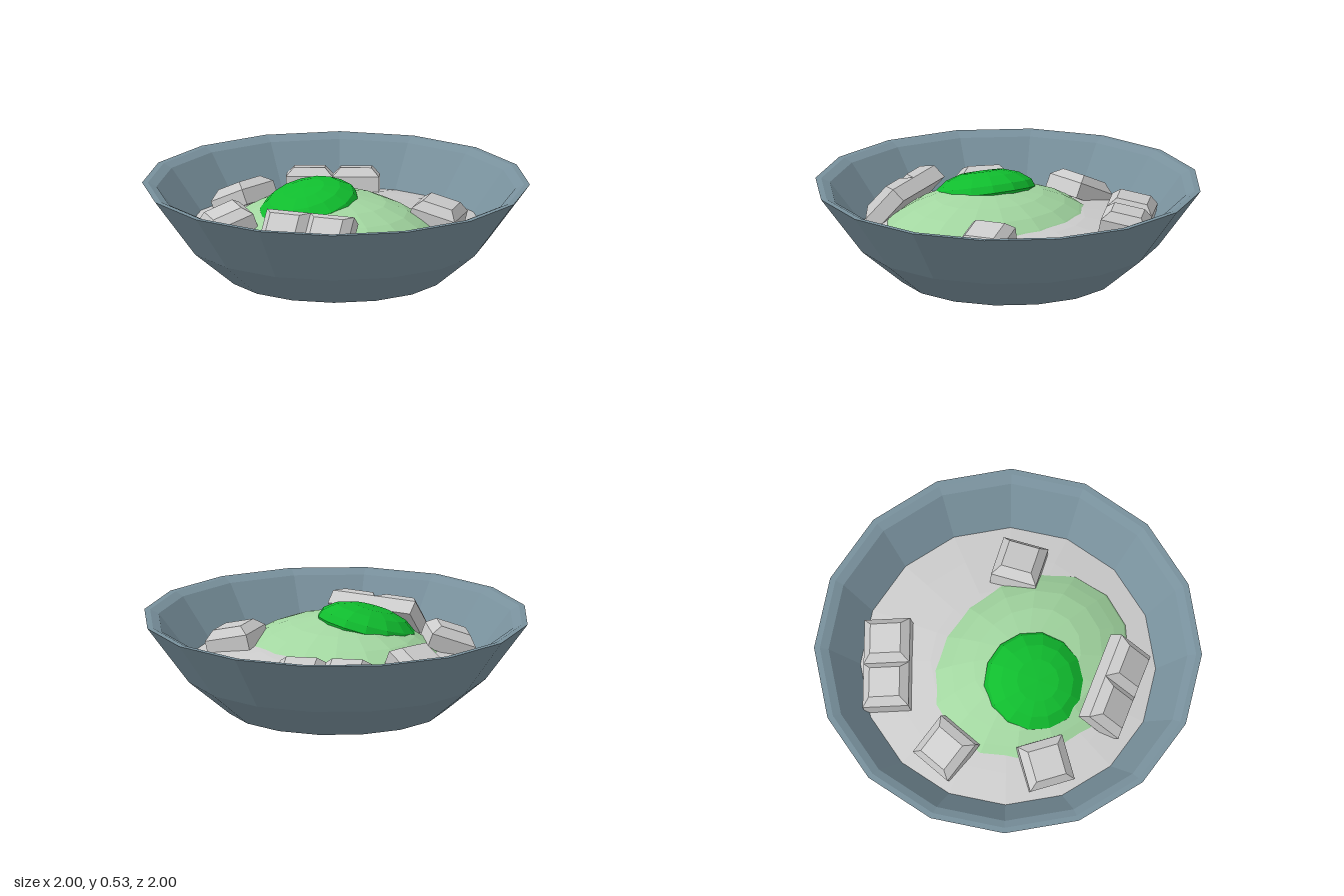
import * as THREE from 'three';

const material = (color) => new THREE.MeshStandardMaterial({ color, flatShading: true });
const grey = material(0xcccccc);

function add(parent, name, geometry, mat) {
  const mesh = new THREE.Mesh(geometry, mat);
  mesh.name = name;
  parent.add(mesh);
  return mesh;
}

// Profiles run bottom to top along the outside so the faces point outwards
const lathe = (points, sides) =>
  new THREE.LatheGeometry(points.map(([r, y]) => new THREE.Vector2(r, y)), sides);

// A bar of one or more squares, each a slab with a sloped raised top.
// Local +z points away from the bowl's centre; tilt leans the top outwards.
function bar(parent, name, count, [x, y, z], yaw, tilt) {
  const size = 0.24;
  const group = new THREE.Group();
  group.name = name;
  group.position.set(x, y, z);
  group.rotation.set(tilt, yaw, 0, 'YXZ');
  add(group, 'slab', new THREE.BoxGeometry(size * count, 0.08, size), grey).position.y = -0.02;
  for (let i = 0; i < count; i++) {
    const top = new THREE.CylinderGeometry(0.08 * Math.SQRT2, 0.12 * Math.SQRT2, 0.045, 4, 1);
    top.rotateY(Math.PI / 4);
    add(group, 'raisedSquare', top, grey)
      .position.set((i - (count - 1) / 2) * size, 0.0425, 0);
  }
  parent.add(group);
}

export function createModel() {
  const model = new THREE.Group();
  model.name = 'filledBowl';

  // Bowl: foot, two-step outer wall, rim and inner wall
  add(model, 'bowl', lathe([
    [0, 0], [0.565, 0], [0.78, 0.18], [1, 0.48],
    [0.97, 0.48], [0.925, 0.46], [0.76, 0.25], [0.66, 0.14], [0, 0.1],
  ], 16), material(0x78909c));

  // Gently domed filling
  add(model, 'filling', lathe([
    [0.765, 0.25], [0.6, 0.285], [0.4, 0.32], [0.2, 0.34], [0, 0.345],
  ], 16), grey);

  // Pale sauce spread over the filling
  const sauce = add(model, 'paleSauce', lathe([
    [0.62, 0.2], [0.56, 0.29], [0.5, 0.33], [0.42, 0.375],
    [0.3, 0.42], [0.15, 0.45], [0, 0.455],
  ], 16), material(0xa2d6a0));
  sauce.position.set(0.06, 0, 0.08);
  sauce.scale.z = 0.84;

  // Bright topping, leaning forwards
  const topping = add(model, 'greenTopping', lathe([
    [0.22, -0.08], [0.265, -0.01], [0.25, 0.03], [0.19, 0.075], [0.11, 0.1], [0, 0.105],
  ], 14), material(0x10bc2e));
  topping.position.set(0, 0.4, 0.2);
  topping.rotation.set(0.28, 0, 0.05);

  // Bars and single squares around the edge
  bar(model, 'backBar', 2, [-0.46, 0.33, -0.42], -2.36, 0.2);
  bar(model, 'frontBar', 2, [0.3, 0.36, 0.5], 0.45, 0.85);
  bar(model, 'rightSquare', 1, [-0.565, 0.33, 0.12], -1.5, 0.45);
  bar(model, 'frontSquare', 1, [-0.25, 0.335, 0.54], -0.47, 0.35);
  bar(model, 'leftSquare', 1, [0.41, 0.34, -0.34], 2.09, 0.25);

  return model;
}
